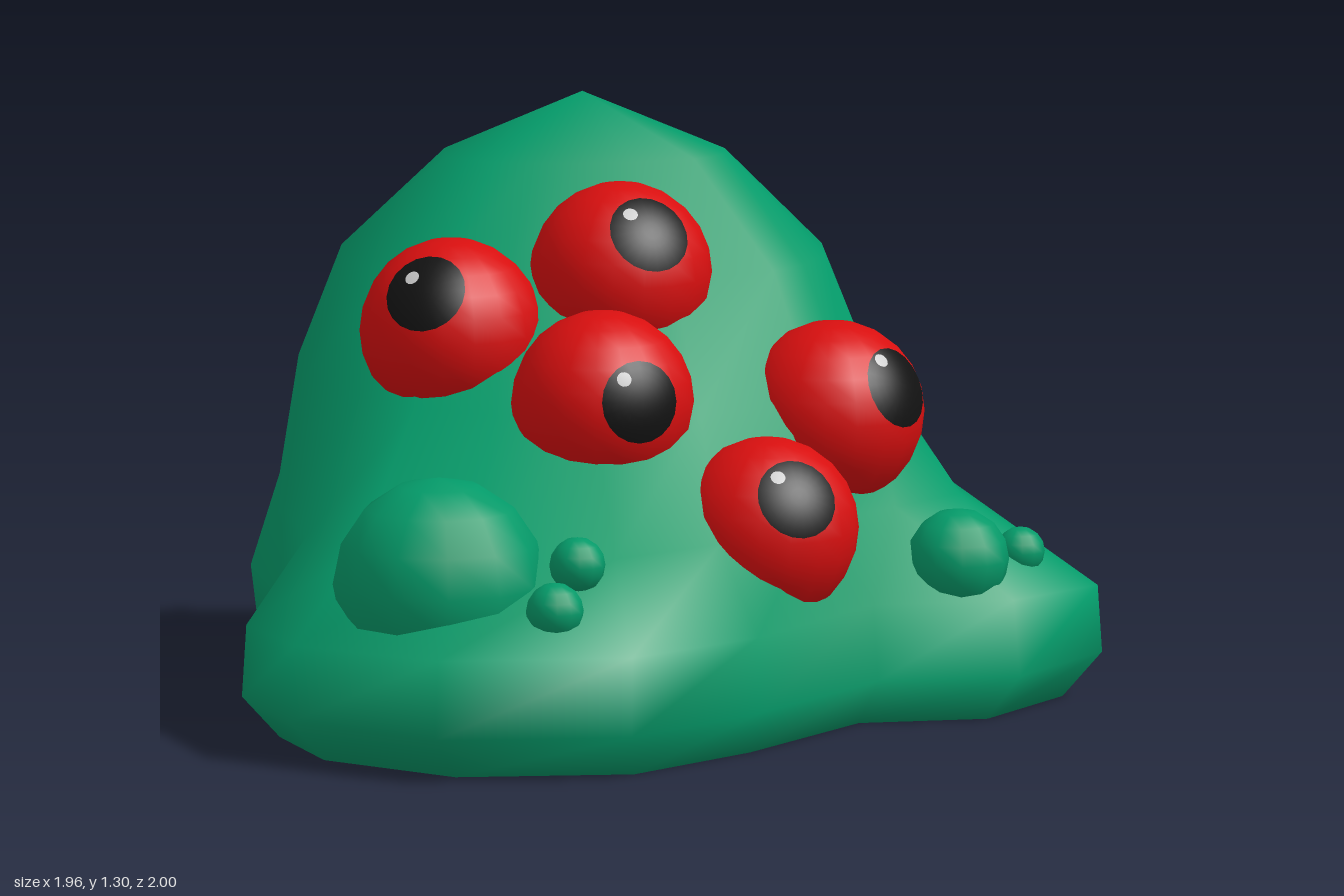
import * as THREE from 'three';

const mat = (color) => new THREE.MeshStandardMaterial({ color });
const green = mat(0x049a69), red = mat(0xd80f0f), black = mat(0x121212), white = mat(0xdddddd);

// Footprint seen from above, [x, z], running back, left side, front, right side
const FOOT = [
  [-0.18, -1], [-0.56, -0.95], [-0.8, -0.73], [-0.89, -0.46], [-0.86, -0.02], [-0.98, 0.42],
  [-0.9, 0.74], [-0.6, 1], [-0.16, 1], [0.15, 0.73], [0.45, 0.36], [0.77, 0.33],
  [0.98, 0.04], [0.88, -0.33], [0.68, -0.49], [0.2, -0.77],
];
// Contour at the height where the lobes merge into the hump
const WAIST = [
  [-0.15, -0.86], [-0.47, -0.82], [-0.71, -0.66], [-0.82, -0.42], [-0.85, -0.02], [-0.83, 0.36],
  [-0.73, 0.55], [-0.5, 0.66], [-0.17, 0.7], [0.08, 0.54], [0.3, 0.32], [0.51, 0.12],
  [0.67, -0.04], [0.65, -0.27], [0.47, -0.47], [0.17, -0.7],
];
// Upper hump contours: height, left, right, back, front
const HUMP = [
  [0.7, -0.8, 0.5, -0.775, 0.33],
  [0.95, -0.7, 0.4, -0.74, 0.01],
  [1.17, -0.46, 0.18, -0.655, -0.26],
];

// Rounded contour of the hump, widest at z = -0.4, with each quarter rounder or squarer
function humpRing([y, x0, x1, zb, zf]) {
  return FOOT.map(([fx, fz]) => {
    const a = Math.atan2(fz + 0.2, fx + 0.1);
    const c = Math.cos(a), s = Math.sin(a);
    const p = s < 0 ? (c < 0 ? 0.97 : 1.2) : (c < 0 ? 1 : 0.85);
    const ux = Math.sign(c) * Math.abs(c) ** p, uz = Math.sign(s) * Math.abs(s) ** p;
    return [(x0 + x1) / 2 + ((x1 - x0) / 2) * ux, y, -0.4 + uz * (s < 0 ? -0.4 - zb : zf + 0.4)];
  });
}

// Skin stacked rings, closing each end on a single point
function skin(rings, bottom, top) {
  const n = rings[0].length, pos = [bottom, ...rings.flat(), top].flat(), idx = [];
  const v = (j, i) => 1 + j * n + (i % n);
  const last = rings.length - 1;
  for (let i = 0; i < n; i++) {
    idx.push(0, v(0, i + 1), v(0, i));
    for (let j = 0; j < last; j++) {
      idx.push(v(j, i), v(j, i + 1), v(j + 1, i + 1), v(j, i), v(j + 1, i + 1), v(j + 1, i));
    }
    idx.push(v(last, i), v(last, i + 1), 1 + rings.length * n);
  }
  const g = new THREE.BufferGeometry();
  g.setAttribute('position', new THREE.Float32BufferAttribute(pos, 3));
  g.setIndex(idx);
  g.computeVertexNormals();
  return g;
}

function add(parent, name, geometry, material, at = [0, 0, 0]) {
  const m = new THREE.Mesh(geometry, material);
  m.name = name;
  m.position.set(...at);
  parent.add(m);
  return m;
}

// Spherical cap of the given half angle, facing along dir
function cap(parent, name, radius, angle, dir, material) {
  const m = add(parent, name, new THREE.SphereGeometry(radius, 20, 5, 0, Math.PI * 2, 0, angle), material);
  m.quaternion.setFromUnitVectors(new THREE.Vector3(0, 1, 0), dir.clone().normalize());
}

export function createModel() {
  const model = new THREE.Group();
  model.name = 'blobCreature';

  // Body: undercut base, bulging rim, waist, hump
  const rings = [
    FOOT.map(([x, z]) => {
      const k = 0.91 - 0.2 * Math.max(0, -z);
      return [x * k, 0, z * k];
    }),
    FOOT.map(([x, z]) => {
      const k = 1 - 0.06 * Math.max(0, -z);
      return [x * k, 0.1, z * k];
    }),
    // the side lobe leans back above its foot
    FOOT.map(([x, z]) => [x * 0.99, 0.25 + 0.03 * z, x > 0.4 && z > 0.2 ? z - 0.07 : z]),
    WAIST.map(([x, z]) => [x, 0.45, z]),
    ...HUMP.map(humpRing),
  ];
  add(model, 'body', skin(rings, [-0.1, 0, 0], [-0.14, 1.3, -0.45]), green);

  // Eyes: centre, then gaze direction
  const eyes = [
    [[-0.475, 0.85, 0.01], [-0.065, 0.1, 0.13]],
    [[-0.09, 0.96, -0.05], [0.05, 0.11, 0.14]],
    [[-0.16, 0.73, 0.28], [0.07, 0.03, 0.18]],
    [[0.375, 0.66, 0.07], [0.125, 0.07, 0.11]],
    [[0.2, 0.455, 0.38], [0.05, 0.09, 0.15]],
  ];
  for (const [centre, gaze] of eyes) {
    const eye = new THREE.Group();
    eye.name = 'eye';
    eye.position.set(...centre);
    model.add(eye);
    const dir = new THREE.Vector3(...gaze);
    add(eye, 'eyeball', new THREE.SphereGeometry(0.205, 18, 12), red);
    cap(eye, 'pupil', 0.208, 0.46, dir, black);
    cap(eye, 'glint', 0.21, 0.08, dir.clone().add(new THREE.Vector3(-0.04, 0.05, 0)), white);
  }

  // Warts: centre, radius
  const warts = [
    [[-0.56, 0.395, 0.655], 0.238], [[-0.26, 0.45, 0.765], 0.063], [[-0.32, 0.365, 0.87], 0.065],
    [[0.645, 0.34, 0.175], 0.115], [[0.795, 0.335, 0.06], 0.055],
  ];
  for (const [centre, r] of warts) {
    add(model, 'wart', new THREE.SphereGeometry(r, 12, 8), green, centre);
  }
  return model;
}
